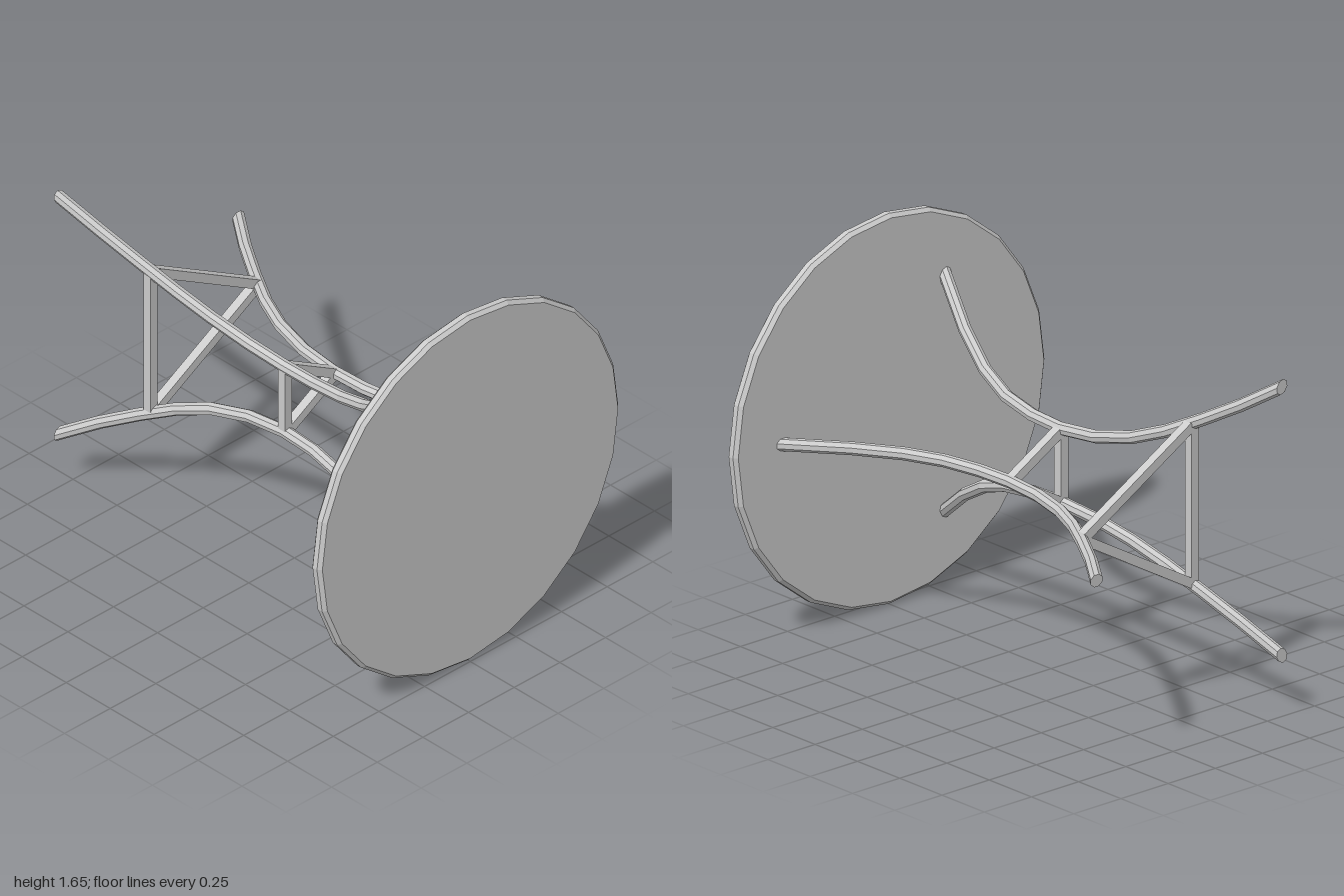
import * as THREE from 'three';

const material = new THREE.MeshStandardMaterial({ color: 0xcccccc, flatShading: true });

// Leg path as [distance from axis, z], from the table top to the foot
const LEG = [
  [0.59, 0.965], [0.4, 0.73], [0.285, 0.55], [0.218, 0.385], [0.187, 0.21], [0.18, 0.04],
  [0.2, -0.15], [0.252, -0.34], [0.325, -0.5], [0.42, -0.66], [0.53, -0.83], [0.655, -1],
];
const LEG_RADIUS = 0.025;
const SIDES = 8;

// Sweeps a round section along the path; both ends are cut square to z
function legGeometry() {
  const positions = [], index = [];
  const last = LEG.length - 1;
  LEG.forEach(([r, z], i) => {
    const a = LEG[Math.max(i - 1, 0)], b = LEG[Math.min(i + 1, last)];
    const t = new THREE.Vector2(b[0] - a[0], b[1] - a[1]).normalize();
    const isEnd = i === 0 || i === last;
    for (let s = 0; s < SIDES; s++) {
      const angle = ((s + 0.5) / SIDES) * Math.PI * 2;
      const u = Math.cos(angle) * LEG_RADIUS / Math.cos(Math.PI / SIDES);
      const v = Math.sin(angle) * LEG_RADIUS / Math.cos(Math.PI / SIDES);
      if (isEnd) positions.push(r - u / t.y, v, z);
      else positions.push(r - t.y * u, v, z + t.x * u);
    }
  });
  for (let i = 0; i < last; i++) {
    for (let s = 0; s < SIDES; s++) {
      const a = i * SIDES + s, b = i * SIDES + (s + 1) % SIDES;
      index.push(a, a + SIDES, b, b, a + SIDES, b + SIDES);
    }
  }
  // End caps
  for (let s = 1; s < SIDES - 1; s++) {
    const e = last * SIDES;
    index.push(0, s, s + 1, e, e + s + 1, e + s);
  }
  const geometry = new THREE.BufferGeometry();
  geometry.setAttribute('position', new THREE.Float32BufferAttribute(positions, 3));
  geometry.setIndex(index);
  geometry.computeVertexNormals();
  return geometry;
}

export function createModel() {
  const model = new THREE.Group();
  model.name = 'roundTable';
  const add = (name, geometry, parent = model) => {
    const mesh = new THREE.Mesh(geometry, material);
    mesh.name = name;
    parent.add(mesh);
    return mesh;
  };

  // Round top with a bevelled rim, standing on its edge
  const profile = [[0, 0.945], [0.81, 0.945], [0.825, 0.96], [0.825, 0.985], [0.81, 1], [0, 1]]
    .map(([r, y]) => new THREE.Vector2(r, y));
  add('tableTop', new THREE.LatheGeometry(profile, 24).rotateX(Math.PI / 2));

  // Three curved legs around the axis
  const leg = legGeometry();
  for (let k = 0; k < 3; k++) add('leg', leg).rotation.z = (k * Math.PI * 2) / 3;

  // Two triangles of square struts: [z, leg distance from axis]
  for (const [z, r] of [[0.04, 0.18], [-0.615, 0.392]]) {
    const braces = new THREE.Group();
    braces.name = 'braceTriangle';
    for (let k = 0; k < 3; k++) {
      const angle = ((k + 0.5) * Math.PI * 2) / 3;
      const strut = add('strut', new THREE.BoxGeometry(0.04, r * Math.sqrt(3) - 0.02, 0.04), braces);
      strut.position.set(Math.cos(angle) * r / 2, Math.sin(angle) * r / 2, z);
      strut.rotation.z = angle;
    }
    model.add(braces);
  }

  model.position.y = 0.825;
  const root = new THREE.Group();
  root.name = 'table';
  root.add(model);
  return root;
}
